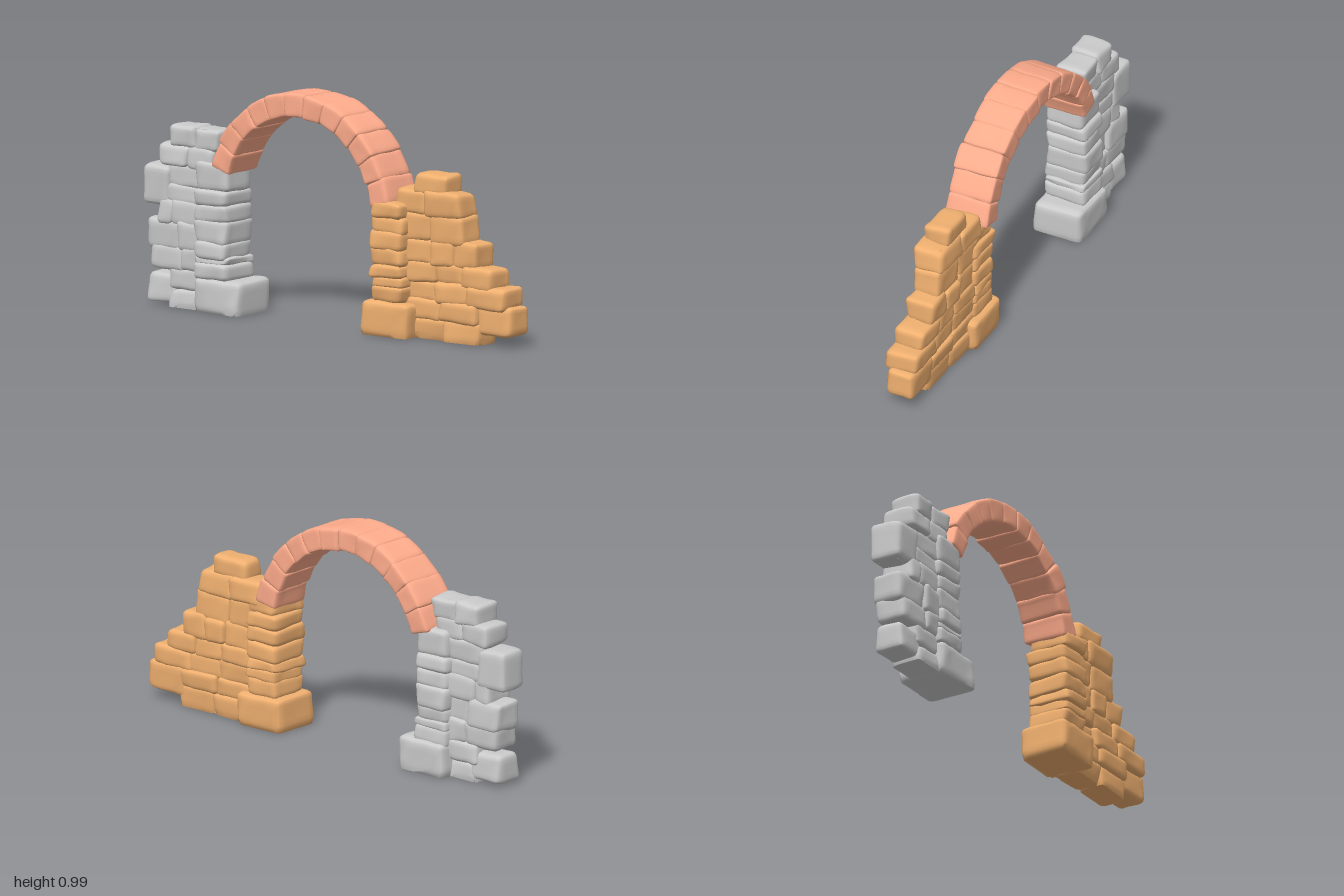
import * as THREE from 'three';
import { mergeVertices } from 'three/addons/utils/BufferGeometryUtils.js';

// Small seeded generator for the irregularity of the stones
let seed = 7;
const rand = () => {
  seed = (seed * 16807) % 2147483647;
  return seed / 2147483647;
};
const vary = (amount) => (rand() * 2 - 1) * amount;

// Hewn block: rounded box with skewed corners and an uneven face
function stoneGeometry(sx, sy, sz, round, skew, bump, bend) {
  const geo = new THREE.BoxGeometry(2, 2, 2, 7, 7, 7);
  geo.deleteAttribute('uv');
  geo.deleteAttribute('normal');
  const pos = geo.attributes.position;
  const half = new THREE.Vector3(sx / 2, sy / 2, sz / 2);
  const core = half.clone().subScalar(round);
  const corners = Array.from({ length: 8 }, () => new THREE.Vector3(vary(skew), vary(skew * 0.7), vary(skew)));
  const phase = rand() * 20;
  const p = new THREE.Vector3(), c = new THREE.Vector3();
  const spread = (u) => Math.sign(u) * Math.pow(Math.abs(u), 0.55);
  for (let i = 0; i < pos.count; i++) {
    p.fromBufferAttribute(pos, i);
    p.set(spread(p.x), spread(p.y), spread(p.z));
    const u = p.clone();
    p.multiply(half);
    c.copy(p).clamp(core.clone().negate(), core);
    p.sub(c).setLength(round).add(c);
    corners.forEach((offset, k) => {
      const w = (1 + (k & 1 ? u.x : -u.x)) * (1 + (k & 2 ? u.y : -u.y)) * (1 + (k & 4 ? u.z : -u.z)) / 8;
      p.addScaledVector(offset, w);
    });
    const n = Math.sin(p.z * 55 + phase) * Math.cos(p.y * 60 + phase * 2) + Math.sin(p.x * 50 + phase * 3);
    p.addScaledVector(u.normalize(), n * bump);
    if (bend) bend(p);
    pos.setXYZ(i, p.x, p.y, p.z);
  }
  const merged = mergeVertices(geo, 1e-5);
  merged.computeVertexNormals();
  return merged;
}

// Stone filling the given bounds, lapping slightly into its neighbours
function addStone(group, name, material, x0, x1, y0, y1, z0, z1) {
  const lap = 0.012, low = Math.max(0.002, y0 - lap / 2);
  const sx = x1 - x0, sy = y1 + lap / 2 - low, sz = Math.abs(z1 - z0) + lap;
  const round = Math.min(0.024, sy * 0.32);
  const mesh = new THREE.Mesh(stoneGeometry(sx, sy, sz, round, 0.009, 0.0025), material);
  // Ground stones keep a flat underside
  mesh.geometry.translate((x0 + x1) / 2, (y1 + lap / 2 + low) / 2, (z0 + z1) / 2);
  const pos = mesh.geometry.attributes.position;
  if (y0 === 0) {
    for (let i = 0; i < pos.count; i++) if (pos.getY(i) < 0.015) pos.setY(i, 0);
    mesh.geometry.computeVertexNormals();
  }
  mesh.name = name;
  group.add(mesh);
}

// Pier: wide column of stacked stones backed by a stepped, narrower wall
function buildPier({ name, material, column, levels, base, wall, wallX }) {
  const pier = new THREE.Group();
  pier.name = name;
  addStone(pier, 'baseStone', material, -0.117, 0.115, 0, levels[0], ...base);
  for (let i = 0; i < levels.length - 1; i++) {
    const shift = vary(0.008);
    addStone(pier, 'columnStone', material, -0.1 + vary(0.006), 0.097 + vary(0.006),
      levels[i], levels[i + 1], column[0] + shift, column[1]);
  }
  for (const [y0, y1, ...cuts] of wall) {
    for (let i = 0; i < cuts.length - 1; i++) {
      addStone(pier, 'wallStone', material, wallX[0] + vary(0.012), wallX[1] + vary(0.01),
        y0, y1, cuts[i], cuts[i + 1]);
    }
    // Filling behind the joints
    const first = cuts[0], last = cuts[cuts.length - 1];
    const fill = new THREE.Mesh(new THREE.BoxGeometry(wallX[1] - wallX[0] - 0.05, y1 - y0, Math.abs(last - first) - 0.05), material);
    fill.position.set((wallX[0] + wallX[1]) / 2, (y0 + y1) / 2, (first + last) / 2);
    fill.name = 'wallFilling';
    pier.add(fill);
  }
  const top = levels[levels.length - 1] - 0.03;
  const columnFill = new THREE.Mesh(new THREE.BoxGeometry(0.14, top, 0.11), material);
  columnFill.position.set(0, top / 2, (column[0] + column[1]) / 2);
  columnFill.name = 'columnFilling';
  pier.add(columnFill);
  return pier;
}

// Arch: wedge stones bent around the centre of the opening
function buildArch(material) {
  const arch = new THREE.Group();
  arch.name = 'arch';
  const count = 12, radius = 0.453, centreY = 0.488, centreZ = -0.128;
  const start = THREE.MathUtils.degToRad(9), end = THREE.MathUtils.degToRad(163);
  const step = (end - start) / count;
  for (let i = 0; i < count; i++) {
    const middle = start + step * (i + 0.5);
    const r = radius + vary(0.004);
    const geo = stoneGeometry(0.208 + vary(0.006), 0.102, step * radius + 0.008, 0.014, 0.005, 0.0016, (p) => {
      const angle = middle - p.z / radius, d = r + p.y;
      p.set(p.x + 0.006, centreY + d * Math.sin(angle), centreZ + d * Math.cos(angle));
    });
    const stone = new THREE.Mesh(geo, material);
    stone.name = 'archStone';
    arch.add(stone);
  }
  return arch;
}

export function createModel() {
  seed = 7;
  const model = new THREE.Group();
  model.name = 'ruinedArch';
  const colour = (color) => new THREE.MeshStandardMaterial({ color });

  // Wall rows: bottom, top, then the joints along z
  model.add(buildPier({
    name: 'frontPier',
    material: colour(0xf0b070),
    column: [0.28, 0.44],
    base: [0.245, 0.48],
    levels: [0.14, 0.215, 0.255, 0.305, 0.375, 0.445, 0.51, 0.575],
    wallX: [-0.045, 0.088],
    wall: [
      [0, 0.09, 0.46, 0.64, 0.83],
      [0.05, 0.17, 0.81, 0.995],
      [0.09, 0.17, 0.42, 0.62, 0.82],
      [0.165, 0.25, 0.42, 0.6, 0.77, 0.975],
      [0.245, 0.33, 0.43, 0.59, 0.74, 0.9],
      [0.325, 0.43, 0.42, 0.57, 0.68, 0.81],
      [0.42, 0.54, 0.4, 0.56, 0.74],
      [0.535, 0.635, 0.37, 0.54, 0.72],
      [0.625, 0.705, 0.47, 0.645],
    ],
  }));

  model.add(buildPier({
    name: 'backPier',
    material: colour(0xcccccc),
    column: [-0.53, -0.69],
    base: [-0.455, -0.69],
    levels: [0.14, 0.21, 0.235, 0.295, 0.39, 0.46, 0.525, 0.64],
    wallX: [-0.085, 0.06],
    wall: [
      [0, 0.08, -0.67, -0.84],
      [0.02, 0.13, -0.81, -0.97],
      [0.08, 0.17, -0.67, -0.84],
      [0.16, 0.26, -0.67, -0.78, -0.955],
      [0.25, 0.37, -0.67, -0.8, -0.97],
      [0.36, 0.46, -0.67, -0.83, -0.905],
      [0.43, 0.6, -0.85, -0.995],
      [0.45, 0.53, -0.67, -0.86],
      [0.52, 0.62, -0.66, -0.87],
      [0.61, 0.7, -0.62, -0.75, -0.9],
      [0.69, 0.78, -0.59, -0.72, -0.85],
    ],
  }));

  model.add(buildArch(colour(0xffac8c)));
  return model;
}
